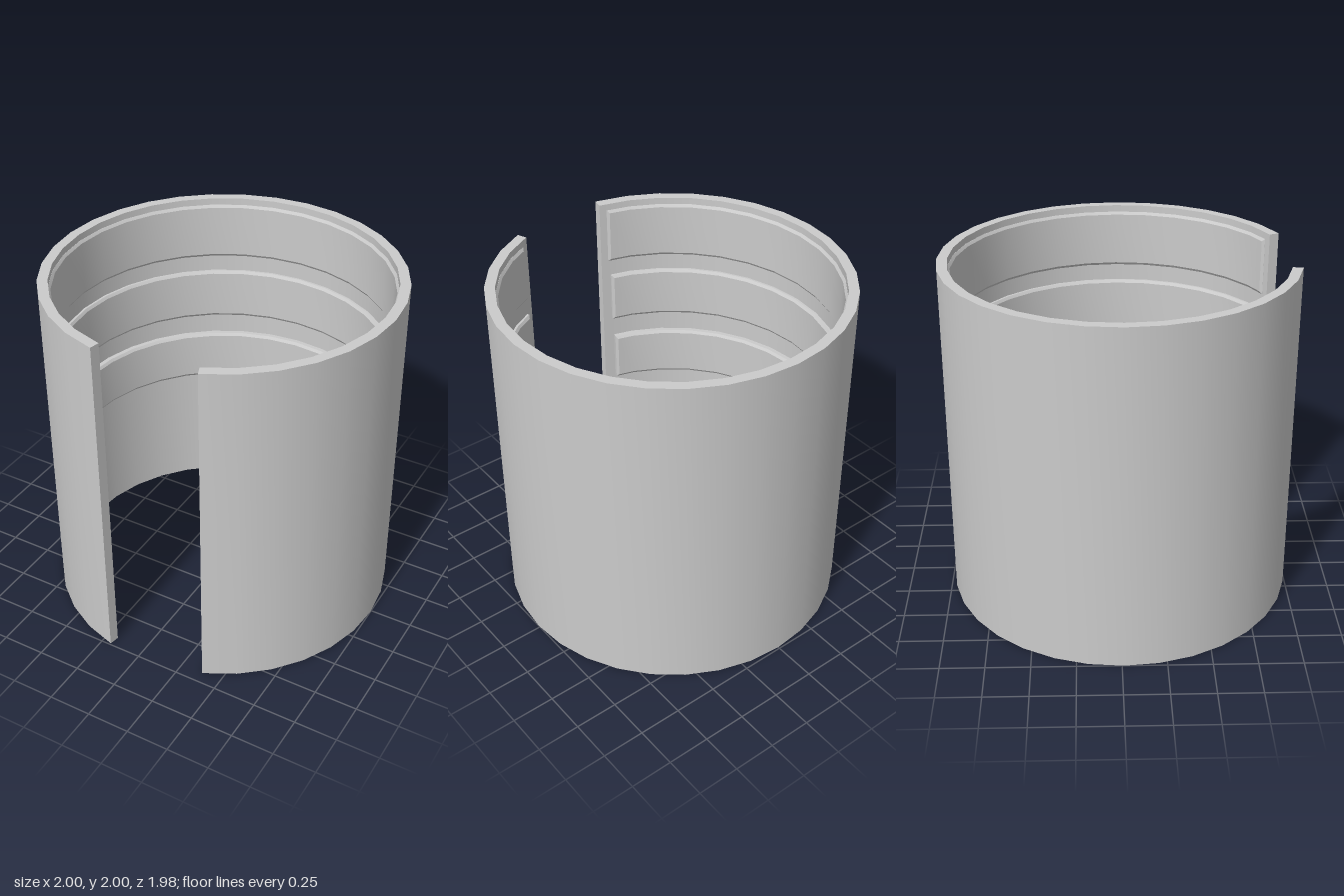
import * as THREE from 'three';
import { toCreasedNormals } from 'three/addons/utils/BufferGeometryUtils.js';

const SEGMENTS = 32, STEP = (Math.PI * 2) / SEGMENTS;
const OUTER = 1, INNER = 0.942, HEIGHT = 2, CENTRE_Z = 0.01;
const START = 2 * STEP, END = 31 * STEP; // the slot at the front spans three facets

const material = new THREE.MeshStandardMaterial({ color: 0xcccccc });

// Point on the faceted ring: angle runs from +z towards +x
function ringPoint(angle, r, y) {
  const offset = angle - (Math.floor(angle / STEP + 1e-6) + 0.5) * STEP;
  const chord = r * Math.cos(STEP / 2) / Math.cos(offset);
  return [chord * Math.sin(angle), y, chord * Math.cos(angle) + CENTRE_Z];
}

// Facet corner angles strictly between two angles
function facetAngles(from, to) {
  const list = [];
  for (let i = 0; i <= SEGMENTS; i++) {
    if (i * STEP > from + 1e-4 && i * STEP < to - 1e-4) list.push(i * STEP);
  }
  return list;
}

// Capped loft through sections { angle, profile }, profile = counter-clockwise [r, y] loop
function loft(name, sections) {
  const n = sections[0].profile.length, last = (sections.length - 1) * n;
  const positions = [], index = [];
  for (const { angle, profile } of sections) {
    for (const [r, y] of profile) positions.push(...ringPoint(angle, r, y));
  }
  for (let s = 0; s < last; s += n) {
    for (let i = 0; i < n; i++) {
      const a = s + i, b = s + (i + 1) % n;
      index.push(b, a, a + n, b, a + n, b + n);
    }
  }
  for (let i = 1; i < n - 1; i++) {
    index.push(0, i, i + 1, last, last + i + 1, last + i);
  }
  const geometry = new THREE.BufferGeometry();
  geometry.setAttribute('position', new THREE.Float32BufferAttribute(positions, 3));
  geometry.setIndex(index);
  const mesh = new THREE.Mesh(toCreasedNormals(geometry, 0.4), material);
  mesh.name = name;
  return mesh;
}

// Raised inner band with chamfered rim on all four sides
function band(name, r, bottom, top, inset) {
  const depth = 0.011, rise = 0.016, root = INNER + 0.008, base = r + depth;
  const from = START + inset, to = END - inset;
  const full = [[root, bottom], [root, top], [base, top],
    [r, top - rise], [r, bottom + rise], [base, bottom]];
  const tip = [[root, bottom], [root, top], [base, top],
    [base, top], [base, bottom], [base, bottom]];
  const inner = [from + rise, ...facetAngles(from + rise, to - rise), to - rise];
  return loft(name, [
    { angle: from, profile: tip },
    ...inner.map((angle) => ({ angle, profile: full })),
    { angle: to, profile: tip },
  ]);
}

export function createModel() {
  const model = new THREE.Group();
  model.name = 'slottedSleeve';

  // Outer wall, open at the front
  const wall = [[INNER, 0], [OUTER, 0], [OUTER, HEIGHT], [INNER, HEIGHT]];
  const angles = [START, ...facetAngles(START, END), END];
  model.add(loft('sleeveWall', angles.map((angle) => ({ angle, profile: wall }))));

  // Three inner bands, each thicker and a little shorter than the one above
  model.add(
    band('upperBand', 0.93, 1.62, 1.96, 0.045),
    band('middleBand', 0.918, 1.21, 1.522, 0.058),
    band('lowerBand', 0.905, 0.78, 1.084, 0.068),
  );
  return model;
}
